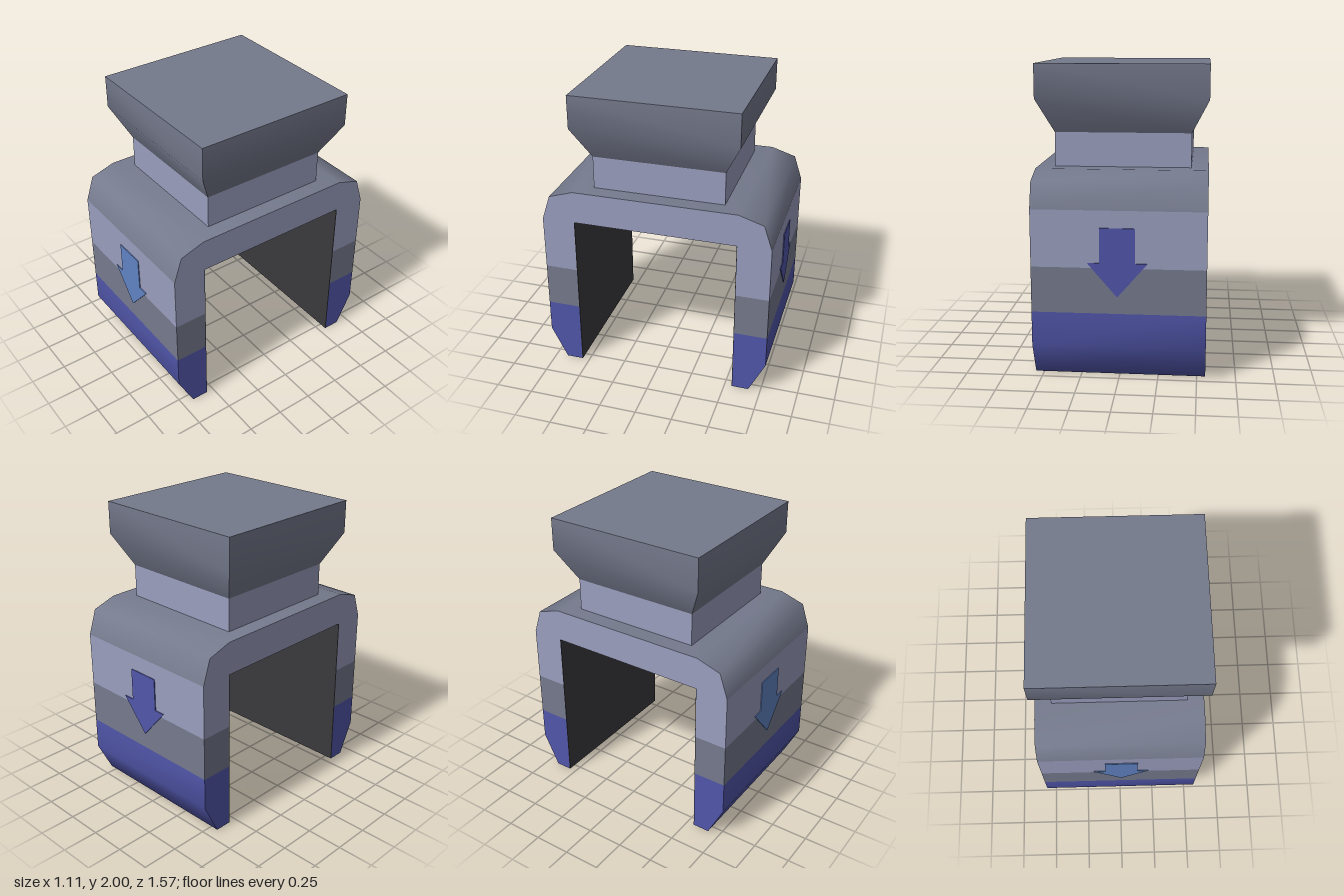
import * as THREE from 'three';
import { toCreasedNormals } from 'three/addons/utils/BufferGeometryUtils.js';

const W = 1.11;               // width along x
const IN = 0.555, OUT = 0.778; // inner and outer z of the legs

function material(name, color) {
  const m = new THREE.MeshStandardMaterial({ color });
  m.name = name;
  return m;
}

const shapeOf = pts => new THREE.Shape(pts.map(p => new THREE.Vector2(p[0], p[1])));

// Extrude a (z, y) profile across the width
function across(pts, crease = 1.2) {
  const g = new THREE.ExtrudeGeometry(shapeOf(pts), { depth: W, bevelEnabled: false });
  g.translate(0, 0, -W / 2);
  g.rotateY(-Math.PI / 2);
  return toCreasedNormals(g, crease);
}

export function createModel() {
  const group = new THREE.Group();
  group.name = 'clampBlock';
  const lavender = material('lavender', 0x9a9ebe);
  const grey = material('slateGrey', 0x757a8d);
  const indigo = material('indigo', 0x5156aa);
  const blue = material('arrowBlue', 0x6083c4);
  const dark = material('innerCharcoal', 0x3a393c);

  function add(name, geometry, mat, parent = group) {
    const mesh = new THREE.Mesh(geometry, mat);
    mesh.name = name;
    parent.add(mesh);
    return mesh;
  }
  function box(name, w, h, d, x, y, z, mat, parent) {
    const mesh = add(name, new THREE.BoxGeometry(w, h, d), mat, parent);
    mesh.position.set(x, y, z);
    return mesh;
  }

  // Flared square head
  const r2 = Math.SQRT2;
  const profile = [[0, 1.556], [0.444, 1.556], [0.555, 1.778], [0.555, 2], [0, 2]]
    .map(([r, y]) => new THREE.Vector2(r * r2, y));
  add('head', toCreasedNormals(new THREE.LatheGeometry(profile, 4, Math.PI / 4), 0.6), grey);

  // Neck
  box('neck', 0.888, 0.223, 0.888, 0, 1.4445, 0, lavender);

  // Rounded roof: lavender ends, grey outer skin
  add('roof', across([
    [IN, 1.111], [OUT, 1.111], [0.722, 1.28], [IN, 1.333],
    [-IN, 1.333], [-0.722, 1.28], [-OUT, 1.111], [-IN, 1.111],
    [-IN, 1.222], [IN, 1.222],
  ]), [lavender, grey]);

  // Ceiling frame with a square recess in its underside
  const h = 0.333;
  const frame = shapeOf([[-0.55, -IN], [0.55, -IN], [0.55, IN], [-0.55, IN]]);
  frame.holes.push(new THREE.Path([[-h, -h], [-h, h], [h, h], [h, -h]].map(p => new THREE.Vector2(...p))));
  const frameGeo = new THREE.ExtrudeGeometry(frame, { depth: 0.111, bevelEnabled: false });
  frameGeo.rotateX(-Math.PI / 2);
  frameGeo.translate(0, 1.111, 0);
  add('ceilingFrame', frameGeo, [dark, grey]);
  for (const s of [1, -1]) {
    box('ceilingEnd', 0.005, 0.111, 2 * IN, s * 0.5525, 1.1665, 0, lavender);
  }

  // Two legs, each with coloured bands, inner lining and arrow
  const bar = (y0, y1) => [[IN, y0], [OUT, y0], [OUT, y1], [IN, y1]];
  const tip = [[IN, 0], [0.667, 0], [OUT, 0.222], [OUT, 0.445], [IN, 0.445]];
  const arrow = [
    [0, 0.555], [0.19, 0.775], [0.112, 0.775], [0.112, 1],
    [-0.112, 1], [-0.112, 0.775], [-0.19, 0.775],
  ];
  for (const [name, turn, arrowMat] of [['frontLeg', 0, blue], ['backLeg', Math.PI, indigo]]) {
    const leg = new THREE.Group();
    leg.name = name;
    leg.rotation.y = turn;
    add('upperBand', across(bar(0.742, 1.111)), lavender, leg);
    add('middleBand', across(bar(0.445, 0.742)), grey, leg);
    add('foot', across(tip), indigo, leg);
    box('innerLining', W, 1.111, 0.004, 0, 0.5555, IN - 0.002, dark, leg);
    const plate = add('arrow', new THREE.ExtrudeGeometry(shapeOf(arrow),
      { depth: 0.007, bevelEnabled: false }), arrowMat, leg);
    plate.position.set(turn ? -0.006 : 0.006, 0, OUT - 0.001);
    group.add(leg);
  }
  return group;
}
